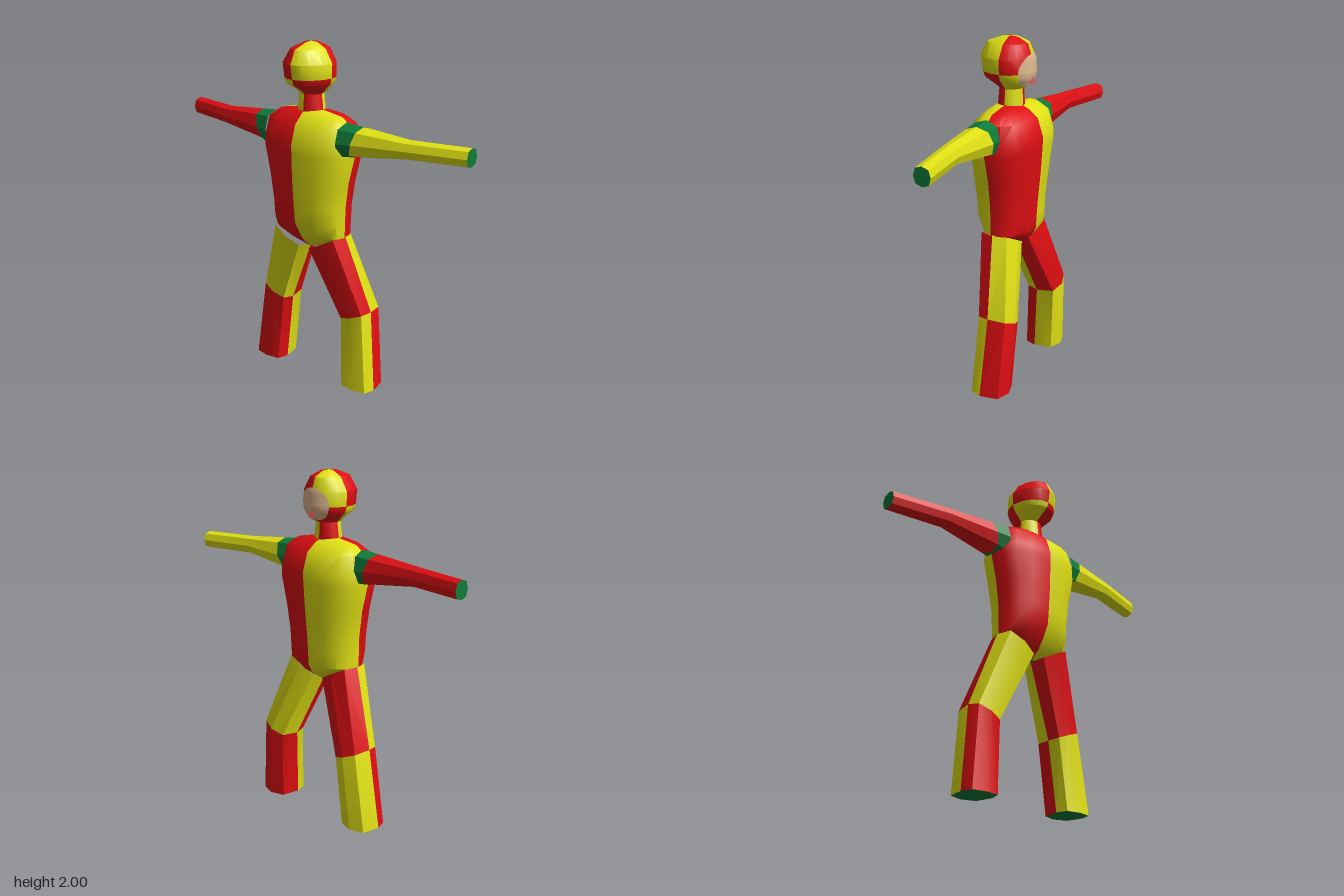
import * as THREE from 'three';
import { toCreasedNormals } from 'three/addons/utils/BufferGeometryUtils.js';

const paint = (name, hex) => {
  const m = new THREE.MeshStandardMaterial({ color: hex });
  m.name = name;
  return m;
};

// One cross-section: seam centre (x, y, z), lateral half-vector (uy, uz), front and back x limits.
const ring = (x, y, z, uy, uz, back, front) => ({ x, y, z, uy, uz, back, front });

// Lofts rings into a skin; pick(row, isFront, isPlusSide) gives the colour index of each panel.
function loft(name, rings, { sides, power, pick, cap = -1, crease = 0.5 }, materials) {
  const pos = [];
  const faces = materials.map(() => []);
  const pow = (v) => (Math.abs(v) < 1e-6 ? 0 : Math.sign(v) * Math.abs(v) ** power);
  for (const r of rings) {
    for (let j = 0; j < sides; j++) {
      const a = (j / sides) * Math.PI * 2;
      const c = pow(Math.cos(a)), s = pow(Math.sin(a));
      pos.push(r.x + c * (c > 0 ? r.front - r.x : r.x - r.back), r.y + s * r.uy, r.z + s * r.uz);
    }
  }
  const first = rings[0], last = rings[rings.length - 1];
  const ccw = -first.uz * (last.y - first.y) + first.uy * (last.z - first.z) > 0;
  const add = (m, a, b, c) => faces[m].push(...(ccw ? [a, b, c] : [a, c, b]));
  for (let i = 0; i < rings.length - 1; i++) {
    for (let j = 0; j < sides; j++) {
      const k = (j + 1) % sides;
      const mid = ((j + 0.5) / sides) * Math.PI * 2;
      const m = pick(i, Math.cos(mid) > 0, Math.sin(mid) > 0);
      const a = i * sides + j, b = i * sides + k;
      add(m, a, b, b + sides);
      if (rings[i + 1].front !== rings[i + 1].back) add(m, a, b + sides, a + sides);
    }
  }
  // Flat cap on the last ring
  if (cap >= 0) {
    const base = (rings.length - 1) * sides;
    for (let j = 1; j < sides - 1; j++) add(cap, base, base + j, base + j + 1);
  }
  let geo = new THREE.BufferGeometry();
  geo.setAttribute('position', new THREE.Float32BufferAttribute(pos, 3));
  geo.setIndex(faces.flat());
  let start = 0;
  faces.forEach((f, m) => {
    if (f.length) geo.addGroup(start, f.length, m);
    start += f.length;
  });
  geo = toCreasedNormals(geo, crease);
  const mesh = new THREE.Mesh(geo, materials);
  mesh.name = name;
  return mesh;
}

export function createModel() {
  const model = new THREE.Group();
  model.name = 'harlequinFigure';
  const red = paint('red', 0xdd0e12);
  const yellow = paint('yellow', 0xe0e014);
  const green = paint('green', 0x0f7a38);
  const skin = paint('skin', 0xdcb68e);
  const suit = [red, yellow, green];
  const RED = 0, YELLOW = 1, GREEN = 2;
  const quarter = (front, plus) => (front === plus ? RED : YELLOW);
  const upright = ([y, back, front, hz]) => ring(front === back ? front : -0.013, y, 0, 0, hz, back, front);

  // Torso in four alternating quarters, with a small green crotch
  const torsoRings = [
    [1.635, -0.06, 0.03, 0.06], [1.628, -0.085, 0.05, 0.11], [1.61, -0.105, 0.09, 0.215],
    [1.565, -0.155, 0.15, 0.275], [1.46, -0.19, 0.185, 0.295], [1.4, -0.19, 0.182, 0.3],
    [1.25, -0.185, 0.172, 0.262], [1.1, -0.173, 0.157, 0.242], [1.0, -0.163, 0.15, 0.24],
    [0.92, -0.12, 0.146, 0.238], [0.87, -0.085, 0.122, 0.14], [0.823, -0.03, 0.06, 0.03],
  ].map(upright);
  model.add(loft('torso', torsoRings, {
    sides: 16, power: 0.82, pick: (i, f, p) => quarter(f, p), cap: GREEN, crease: 0.7,
  }, suit));

  // Neck and head; the quarters swap at the brow line
  const headProfile = [
    [1.6, -0.09, 0.06, 0.085], [1.72, -0.08, 0.055, 0.07], [1.735, -0.095, 0.095, 0.085],
    [1.78, -0.168, 0.115, 0.13], [1.81, -0.178, 0.12, 0.138], [1.89, -0.192, 0.114, 0.141],
    [1.965, -0.155, 0.088, 0.095], [1.995, -0.07, 0.03, 0.04], [2.0, -0.02, -0.02, 0],
  ];
  model.add(loft('head', headProfile.map(upright), {
    sides: 16, power: 1, pick: (i, f, p) => quarter(f, i < 4 ? !p : p), crease: 0.6,
  }, suit));

  // Face: an oval plate laid over the front of the head
  const headFront = (y, z) => {
    const i = headProfile.findIndex((r) => r[0] >= y);
    const a = headProfile[i - 1], b = headProfile[i];
    const t = (y - a[0]) / (b[0] - a[0]);
    const front = THREE.MathUtils.lerp(a[2], b[2], t), hz = THREE.MathUtils.lerp(a[3], b[3], t);
    return -0.013 + (front + 0.013) * Math.sqrt(Math.max(0, 1 - (z / hz) ** 2)) + 0.004;
  };
  const face = new THREE.RingGeometry(0.0001, 1, 32, 8);
  const fp = face.attributes.position;
  for (let i = 0; i < fp.count; i++) {
    const z = -fp.getX(i) * 0.1;
    const y = Math.max(1.738, 1.82 + fp.getY(i) * 0.092);
    fp.setXYZ(i, headFront(y, Math.sign(z) * Math.min(Math.abs(z), 0.1)), y, z);
  }
  face.computeVertexNormals();
  const faceMesh = new THREE.Mesh(face, skin);
  faceMesh.name = 'face';
  model.add(faceMesh);

  // Nose
  const nose = new THREE.Mesh(toCreasedNormals(new THREE.ConeGeometry(0.022, 0.055, 4), 0.3), red);
  nose.name = 'nose';
  nose.position.set(0.115, 1.782, 0);
  model.add(nose);

  for (const s of [1, -1]) {
    const side = s > 0 ? 'right' : 'left';
    const main = s > 0 ? YELLOW : RED, other = s > 0 ? RED : YELLOW;

    // Arm: green shoulder band, tapering sleeve, green end
    const arm = [
      [-0.025, 1.487, 0.25, 0.102, 0, -0.125, 0.07],
      [-0.02, 1.493, 0.335, 0.086, 0.025, -0.108, 0.07],
      [-0.01, 1.502, 0.635, 0.053, 0, -0.066, 0.047],
      [0.06, 1.502, 0.97, 0.051, 0, 0.01, 0.11],
    ].map(([x, y, z, uy, uz, b, f]) => ring(x, y, z * s, uy, uz * s, b, f));
    model.add(loft(side + 'Arm', arm, {
      sides: 8, power: 0.8, pick: (i) => (i === 0 ? GREEN : main), cap: GREEN,
    }, suit));

    // Leg: thigh and shin swap colours at the knee and from front to back
    const leg = [
      [-0.005, 0.875, 0.125, 0.055, 0.11, -0.11, 0.095],
      [0.05, 0.445, 0.295, 0.035, 0.092, -0.035, 0.177],
      [0.022, 0, 0.335, 0, 0.105, -0.06, 0.155],
    ].map(([x, y, z, uy, uz, b, f]) => ring(x, y, z * s, uy, uz * s, b, f));
    model.add(loft(side + 'Leg', leg, {
      sides: 8, power: 0.65, pick: (i, f) => (f === (i === 0) ? main : other), cap: GREEN,
    }, suit));
  }
  return model;
}
